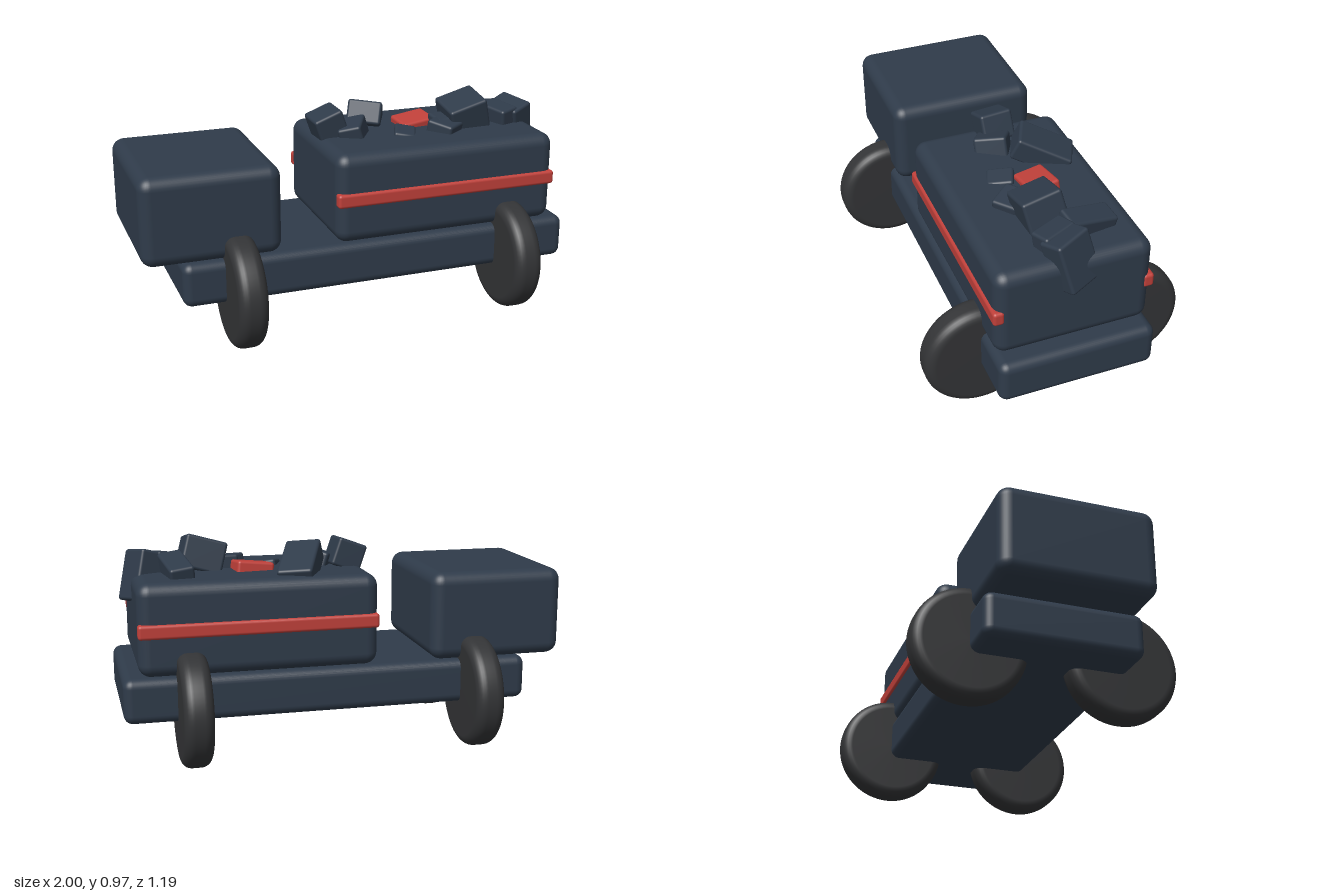
import * as THREE from 'three';
import { RoundedBoxGeometry } from 'three/addons/geometries/RoundedBoxGeometry.js';

const paint = (color) => new THREE.MeshStandardMaterial({ color });

export function createModel() {
  const model = new THREE.Group();
  model.name = 'cargoTruck';
  const body = paint(0x2f3b4a), rubber = paint(0x333436), red = paint(0xc0403a);

  function add(name, geometry, material, position, rotation = [0, 0, 0]) {
    const mesh = new THREE.Mesh(geometry, material);
    mesh.name = name;
    mesh.position.set(...position);
    mesh.rotation.set(...rotation);
    model.add(mesh);
    return mesh;
  }
  const block = (name, size, radius, material, position, rotation) =>
    add(name, new RoundedBoxGeometry(...size, 4, radius), material, position, rotation);

  // Chassis, cab and cargo bin
  block('chassis', [1.83, 0.2, 0.7], 0.04, body, [0.085, 0.3, 0]);
  block('cab', [0.62, 0.4, 0.69], 0.055, body, [-0.69, 0.6, 0]);
  block('cargoBin', [1.06, 0.41, 0.69], 0.055, body, [0.4, 0.605, 0]);

  // Red stripe along each long side of the bin
  for (const side of [1, -1]) {
    block(side > 0 ? 'frontStripe' : 'backStripe', [1.06, 0.064, 0.05], 0.014, red,
      [0.4, 0.605, side * 0.331]);
  }

  // Wheels: a flat disc with a rounded tread, turned about the x axis
  const R = 0.253, half = 0.065, round = 0.045;
  const profile = [new THREE.Vector2(0, -half)];
  for (let i = 0; i <= 6; i++) {
    const a = -Math.PI / 2 + (i / 6) * (Math.PI / 2);
    profile.push(new THREE.Vector2(R - round + round * Math.cos(a), -half + round + round * Math.sin(a)));
  }
  for (let i = 0; i <= 6; i++) {
    const a = (i / 6) * (Math.PI / 2);
    profile.push(new THREE.Vector2(R - round + round * Math.cos(a), half - round + round * Math.sin(a)));
  }
  profile.push(new THREE.Vector2(0, half));
  const wheel = new THREE.LatheGeometry(profile, 64);
  for (const x of [-0.58, 0.705]) {
    for (const z of [0.34, -0.34]) {
      add('wheel', wheel, rubber, [x, R + 0.002, z], [0, 0, -Math.PI / 2]);
    }
  }

  // Heap of tumbled blocks on the bin: size, position, rotation
  const load = [
    [[0.14, 0.13, 0.15], [-0.055, 0.855, -0.02], [0.05, 0.05, 0.35]],
    [[0.11, 0.11, 0.15], [0.06, 0.815, 0.025], [0.2, -0.5, 0.35]],
    [[0.16, 0.11, 0.26], [0.185, 0.835, -0.16], [-0.45, -0.36, -0.27]],
    [[0.1, 0.08, 0.12], [0.29, 0.785, 0.075], [0.15, -0.4, -0.1]],
    [[0.12, 0.12, 0.13], [0.48, 0.795, 0.1], [0.2, 0.65, -0.1]],
    [[0.11, 0.11, 0.11], [0.5, 0.81, 0.04], [0.1, 0.1, 0]],
    [[0.19, 0.15, 0.18], [0.605, 0.865, 0.035], [0.2, 0.05, 0.27]],
    [[0.11, 0.1, 0.23], [0.735, 0.83, -0.125], [-0.2, 0.15, -0.1]],
    [[0.1, 0.12, 0.16], [0.79, 0.83, 0.04], [0.1, 0.35, 0.1]],
    [[0.12, 0.23, 0.17], [0.875, 0.785, 0.005], [0.15, 0.4, 0.22]],
  ];
  for (const [size, position, rotation] of load) {
    block('cargoBlock', size, 0.013, body, position, rotation);
  }
  block('redCargoBlock', [0.17, 0.11, 0.14], 0.013, red, [0.39, 0.79, -0.055], [0.1, 0.12, 0.1]);

  return model;
}
